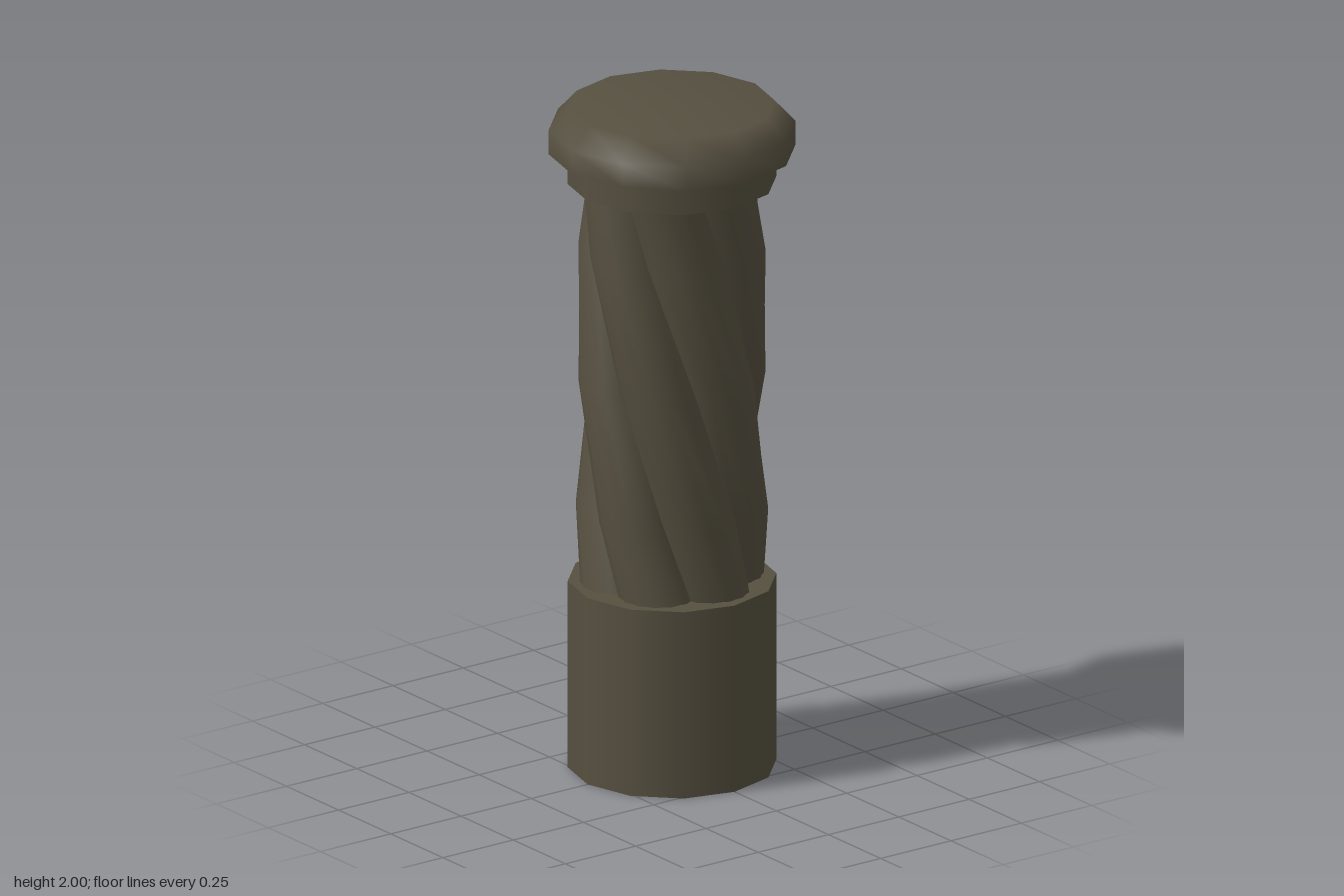
import * as THREE from 'three';

const SIDES = 12;

// Six rounded strands wound half a turn around the axis, with sharp grooves between them
function twistedShaft() {
  const strands = 6, arc = 6, levels = 5, height = 1.96;
  const offset = 0.161, radius = 0.115, reach = THREE.MathUtils.degToRad(75);
  const pos = [], index = [];
  for (let s = 0; s < strands; s++) {
    const start = pos.length / 3;
    for (let l = 1; l <= levels; l++) {
      const mid = Math.PI / 6 + s * Math.PI / 3 - Math.PI * l / levels;
      for (let i = 0; i <= arc; i++) {
        const a = mid + reach * (2 * i / arc - 1);
        pos.push(
          offset * Math.sin(mid) + radius * Math.sin(a),
          height * l / levels,
          offset * Math.cos(mid) + radius * Math.cos(a));
      }
    }
    for (let l = 0; l < levels - 1; l++) {
      for (let i = 0; i < arc; i++) {
        const a = start + l * (arc + 1) + i, b = a + 1, c = a + arc + 1, d = c + 1;
        index.push(a, b, d, a, d, c);
      }
    }
  }
  const geo = new THREE.BufferGeometry();
  geo.setAttribute('position', new THREE.Float32BufferAttribute(pos, 3));
  geo.setIndex(index);
  geo.computeVertexNormals();
  return geo;
}

const lathe = (points) =>
  new THREE.LatheGeometry(points.map(([r, y]) => new THREE.Vector2(r, y)), SIDES);

export function createModel() {
  const group = new THREE.Group();
  const bronze = new THREE.MeshStandardMaterial({ color: 0x565040 });
  bronze.name = 'dark bronze';

  const add = (name, geometry, y = 0) => {
    const mesh = new THREE.Mesh(geometry, bronze);
    mesh.name = name;
    mesh.position.y = y;
    group.add(mesh);
  };

  // Plain drum at the foot
  add('base', new THREE.CylinderGeometry(0.3, 0.3, 0.565, SIDES), 0.2825);
  add('twistedShaft', twistedShaft());
  // Narrow ring below the cap
  add('collar', new THREE.CylinderGeometry(0.3, 0.3, 0.1, SIDES), 1.82);
  // Softly bevelled cap with a flat underside
  add('cap', lathe([[0.355, 1.863], [0.355, 1.935], [0.295, 2], [0, 2]]));
  add('capUnderside', lathe([[0, 1.863], [0.355, 1.863]]));
  return group;
}
